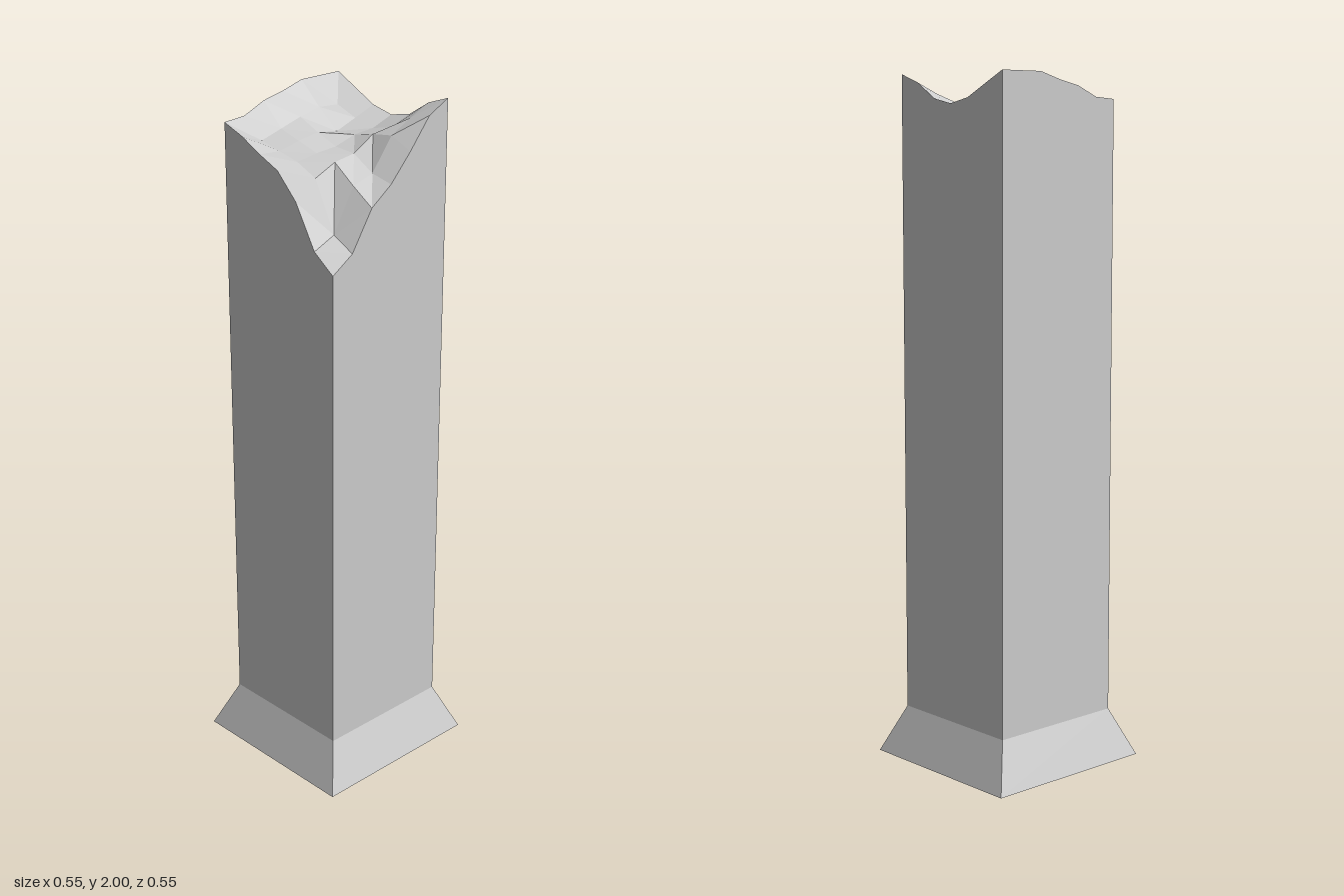
import * as THREE from 'three';

const HALF = 0.2125;      // half width of the shaft
const FOOT_HALF = 0.2725; // half width of the foot at the ground
const FOOT_TOP = 0.14;    // height where the foot meets the shaft
const N = 6;              // cells along each side of the broken top

// Heights of the broken top, rows from back to front, columns from -x to +x
const HEIGHTS = [
  [2.0, 1.965, 1.93, 1.915, 1.93, 1.975, 2.0],
  [2.0, 1.93, 1.905, 1.89, 1.905, 1.945, 1.965],
  [2.0, 1.935, 1.88, 1.885, 1.9, 1.91, 1.88],
  [1.98, 1.92, 1.89, 1.865, 1.86, 1.82, 1.805],
  [1.965, 1.9, 1.88, 1.86, 1.85, 1.8, 1.755],
  [1.935, 1.88, 1.865, 1.85, 1.82, 1.68, 1.645],
  [1.93, 1.905, 1.87, 1.84, 1.77, 1.65, 1.6],
];

// Cells (column + row) whose diagonal runs from back left to front right
const FLIPPED = new Set(['00', '42', '32', '53', '43', '44']);

const material = new THREE.MeshStandardMaterial({ color: 0xcccccc, flatShading: true });

const coord = (i) => -HALF + (2 * HALF * i) / N;
const topPoint = (i, j) => [coord(i), HEIGHTS[j][i], coord(j)];
const wallFoot = (p) => [p[0], FOOT_TOP, p[2]];

function meshFromTriangles(name, triangles) {
  const geometry = new THREE.BufferGeometry();
  geometry.setAttribute('position', new THREE.Float32BufferAttribute(triangles.flat(2), 3));
  geometry.computeVertexNormals();
  const mesh = new THREE.Mesh(geometry, material);
  mesh.name = name;
  return mesh;
}

// Jagged, faceted fracture surface
function brokenTop() {
  const triangles = [];
  for (let j = 0; j < N; j++) {
    for (let i = 0; i < N; i++) {
      const a = topPoint(i, j), b = topPoint(i, j + 1);
      const c = topPoint(i + 1, j + 1), d = topPoint(i + 1, j);
      if (FLIPPED.has(`${i}${j}`)) triangles.push([a, b, c], [a, c, d]);
      else triangles.push([a, b, d], [b, c, d]);
    }
  }
  return meshFromTriangles('brokenTop', triangles);
}

// Four flat walls that follow the rim of the fracture
function shaft() {
  const rim = [];
  for (let k = 0; k < N; k++) rim.push(topPoint(k, N));
  for (let k = N; k > 0; k--) rim.push(topPoint(N, k));
  for (let k = N; k > 0; k--) rim.push(topPoint(k, 0));
  for (let k = 0; k < N; k++) rim.push(topPoint(0, k));
  const triangles = [];
  rim.forEach((p, k) => {
    const q = rim[(k + 1) % rim.length];
    triangles.push([p, wallFoot(p), wallFoot(q)], [p, wallFoot(q), q]);
  });
  return meshFromTriangles('shaft', triangles);
}

// Flared square foot, closed underneath
function foot() {
  const geometry = new THREE.CylinderGeometry(HALF * Math.SQRT2, FOOT_HALF * Math.SQRT2, FOOT_TOP, 4);
  geometry.rotateY(Math.PI / 4);
  geometry.translate(0, FOOT_TOP / 2, 0);
  const mesh = new THREE.Mesh(geometry, material);
  mesh.name = 'foot';
  return mesh;
}

export function createModel() {
  const group = new THREE.Group();
  group.name = 'brokenPillar';
  group.add(foot(), shaft(), brokenTop());
  return group;
}
